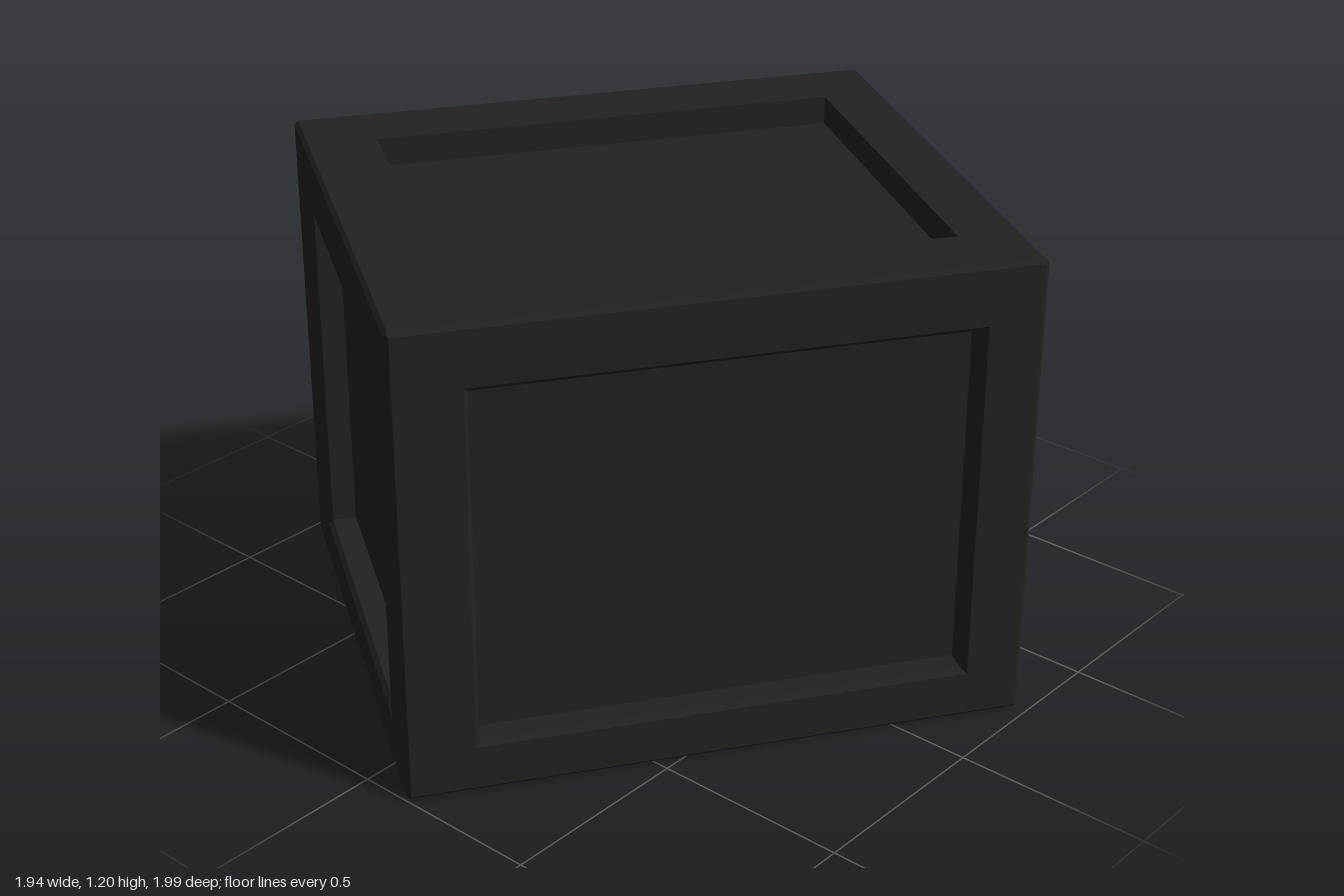
import * as THREE from 'three';

const HALF = new THREE.Vector3(0.665, 0.6, 0.76);          // half size of the crate
const SHIFT = new THREE.Vector3(0.006, -0.015, -0.014);    // small offset of the recesses
const SIDE_OPENING = new THREE.Vector3(0.488, 0.465, 0.607);
const LID_OPENING = new THREE.Vector3(0.479, 0, 0.591);
const EDGE = 0.01, LIP = 0.012, DEPTH = 0.073;

// Each face: name, u axis, v axis (u x v points outwards)
const FACES = [
  ['front', [1, 0, 0], [0, 1, 0]],
  ['left', [0, 0, -1], [0, 1, 0]],
  ['back', [-1, 0, 0], [0, 1, 0]],
  ['right', [0, 0, 1], [0, 1, 0]],
  ['top', [1, 0, 0], [0, 0, -1]],
  ['bottom', [1, 0, 0], [0, 0, 1]],
];

const CORNERS = [[-1, -1], [1, -1], [1, 1], [-1, 1]];

// Four corners of a rectangle at a given depth below a face
function ring(u, v, half, inset, depth, centre) {
  const n = u.clone().cross(v);
  const size = axis => Math.abs(axis.dot(half));
  const reach = Math.abs(n.dot(HALF)) - depth;
  return CORNERS.map(([a, b]) => {
    const p = n.clone().multiplyScalar(reach)
      .addScaledVector(u, a * (size(u) - inset) + u.dot(centre))
      .addScaledVector(v, b * (size(v) - inset) + v.dot(centre));
    return p;
  });
}

// Flat-shaded quads
function quadMesh(name, quads, material) {
  const pos = [];
  for (const [a, b, c, d] of quads)
    for (const p of [a, b, c, a, c, d]) pos.push(p.x, p.y, p.z);
  const g = new THREE.BufferGeometry();
  g.setAttribute('position', new THREE.Float32BufferAttribute(pos, 3));
  g.computeVertexNormals();
  const mesh = new THREE.Mesh(g, material);
  mesh.name = name;
  return mesh;
}

export function createModel() {
  const group = new THREE.Group();
  group.name = 'crate';
  const material = new THREE.MeshStandardMaterial({ color: 0x222222 });
  const crate = new THREE.Group();
  crate.name = 'panelledBox';
  const zero = new THREE.Vector3();

  for (const [name, ua, va] of FACES) {
    const u = new THREE.Vector3(...ua), v = new THREE.Vector3(...va);
    const lid = name === 'top' || name === 'bottom';
    const opening = lid ? LID_OPENING : SIDE_OPENING;
    const lip = lid ? 0 : LIP;

    // Half of the outer chamfer, flat border, bevelled lip, recess wall
    const rings = [
      ring(u, v, HALF, EDGE / 2, EDGE / 2, zero),
      ring(u, v, HALF, EDGE, 0, zero),
      ring(u, v, opening, 0, 0, SHIFT),
    ];
    if (lip) rings.push(ring(u, v, opening, lip, lip, SHIFT));
    const floor = ring(u, v, opening, lip, DEPTH, SHIFT);
    rings.push(floor);

    const quads = [];
    for (let r = 0; r + 1 < rings.length; r++)
      for (let i = 0; i < 4; i++) {
        const j = (i + 1) % 4;
        quads.push([rings[r][i], rings[r][j], rings[r + 1][j], rings[r + 1][i]]);
      }
    crate.add(quadMesh(name + 'Frame', quads, material));
    crate.add(quadMesh(name + 'Panel', [floor], material));
  }

  crate.rotation.y = -0.585;   // the crate stands turned
  crate.position.y = HALF.y;
  group.add(crate);
  return group;
}
